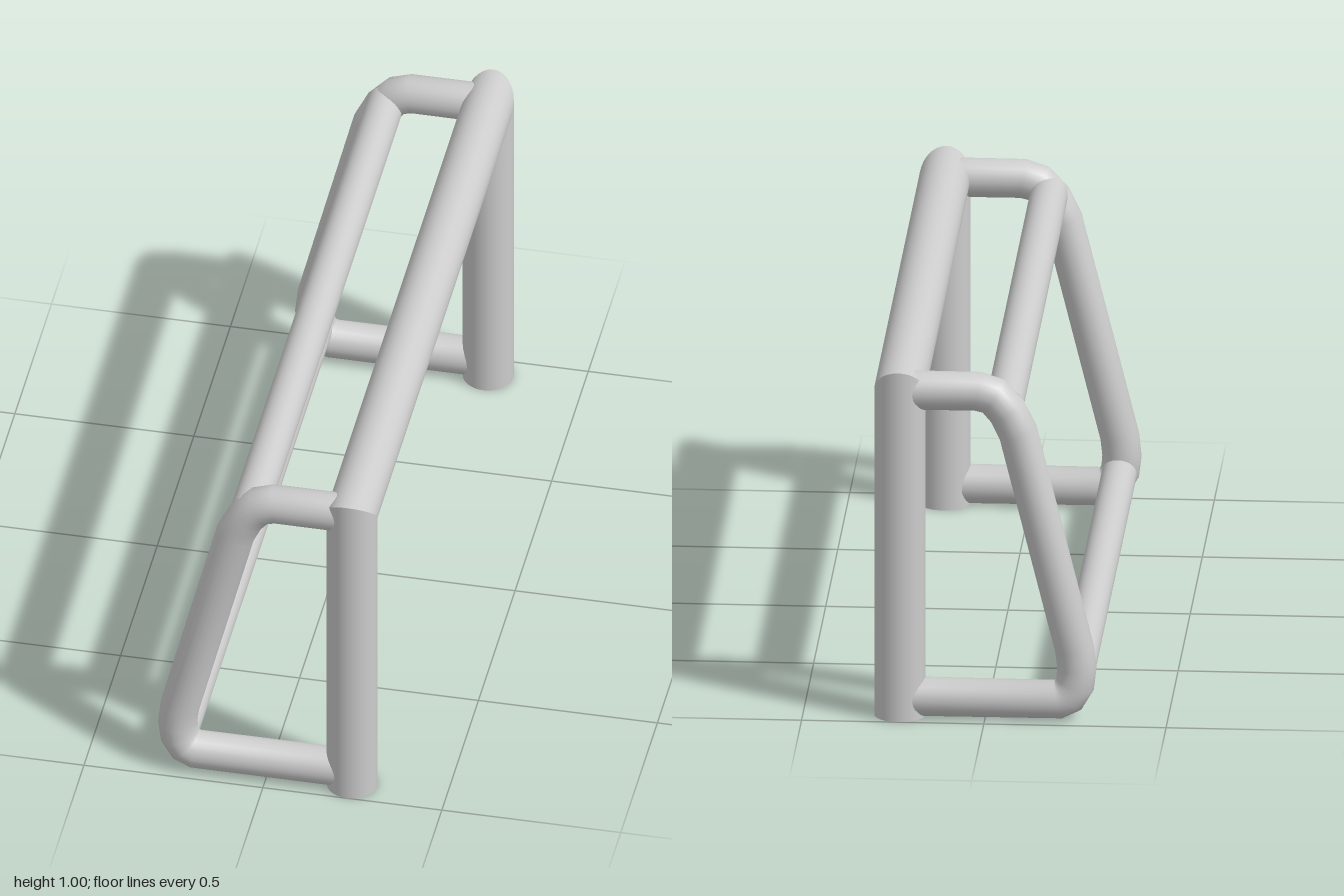
import * as THREE from 'three';

const FRAME_R = 0.07, FRAME_X = 0.235, FRAME_Y = 0.935, FRAME_Z = 0.93;
const SIDE_R = 0.054, SIDE_Z = 0.935, BAR_R = 0.05;

// Curve that lands exactly on its points, with averaged tangents at the corners
class BentPath extends THREE.Curve {
  constructor(points) {
    super();
    this.points = points;
  }
  getPointAt(t) {
    const last = this.points.length - 1;
    const i = Math.min(Math.floor(t * last + 1e-6), last - 1);
    return this.points[i].clone().lerp(this.points[i + 1], t * last - i);
  }
  getTangentAt(t) {
    const p = this.points, last = p.length - 1, i = Math.round(t * last);
    const dir = (a, b) => p[b].clone().sub(p[a]).normalize();
    const tangent = new THREE.Vector3();
    if (i > 0) tangent.add(dir(i - 1, i));
    if (i < last) tangent.add(dir(i, i + 1));
    return tangent.normalize();
  }
}

export function createModel() {
  const goal = new THREE.Group();
  goal.name = 'goal';
  const metal = new THREE.MeshStandardMaterial({ color: 0xcccccc, side: THREE.DoubleSide });
  metal.name = 'light grey metal';

  const add = (name, geometry) => {
    const mesh = new THREE.Mesh(geometry, metal);
    mesh.name = name;
    goal.add(mesh);
  };
  // Open pipe along z
  const pipeZ = (radius, length, x, y) =>
    new THREE.CylinderGeometry(radius, radius, length, 32, 1, true).rotateX(Math.PI / 2).translate(x, y, 0);

  // Crossbar with ends mitred at 45 degrees
  const crossbar = pipeZ(FRAME_R, 2 * FRAME_Z, FRAME_X, FRAME_Y);
  const bar = crossbar.attributes.position;
  for (let i = 0; i < bar.count; i++) {
    bar.setZ(i, Math.sign(bar.getZ(i)) * (FRAME_Z + bar.getY(i) - FRAME_Y));
  }
  add('crossbar', crossbar);

  // Centre line of one bent side tube, from the foot of the post to its top
  const profile = [
    [0.2, 0.055], [-0.2, 0.055], [-0.228, 0.068], [-0.246, 0.1], [-0.251, 0.145], [-0.245, 0.2],
    [-0.09, 0.82], [-0.06, 0.882], [-0.022, 0.924], [0.02, 0.937], [0.2, 0.937],
  ];

  for (const [side, s] of [['front', 1], ['back', -1]]) {
    // Upright post, its top cut to meet the crossbar
    const post = new THREE.CylinderGeometry(FRAME_R, FRAME_R, FRAME_Y, 32, 1, true)
      .translate(FRAME_X, FRAME_Y / 2, s * FRAME_Z);
    const pos = post.attributes.position;
    for (let i = 0; i < pos.count; i++) {
      if (pos.getY(i) > 0.5) pos.setY(i, FRAME_Y + s * pos.getZ(i) - FRAME_Z);
    }
    add(side + 'Post', post);

    // Bent side tube
    const path = new BentPath(profile.map(([x, y]) => new THREE.Vector3(x, y, s * SIDE_Z)));
    add(side + 'SideTube', new THREE.TubeGeometry(path, profile.length - 1, SIDE_R, 24, false));
  }

  // Long bars joining the side tubes
  add('upperRearBar', pipeZ(BAR_R + 0.002, 2 * SIDE_Z, -0.052, 0.897));
  add('lowerRearBar', pipeZ(BAR_R - 0.002, 2 * SIDE_Z, -0.245, 0.1));

  return goal;
}
